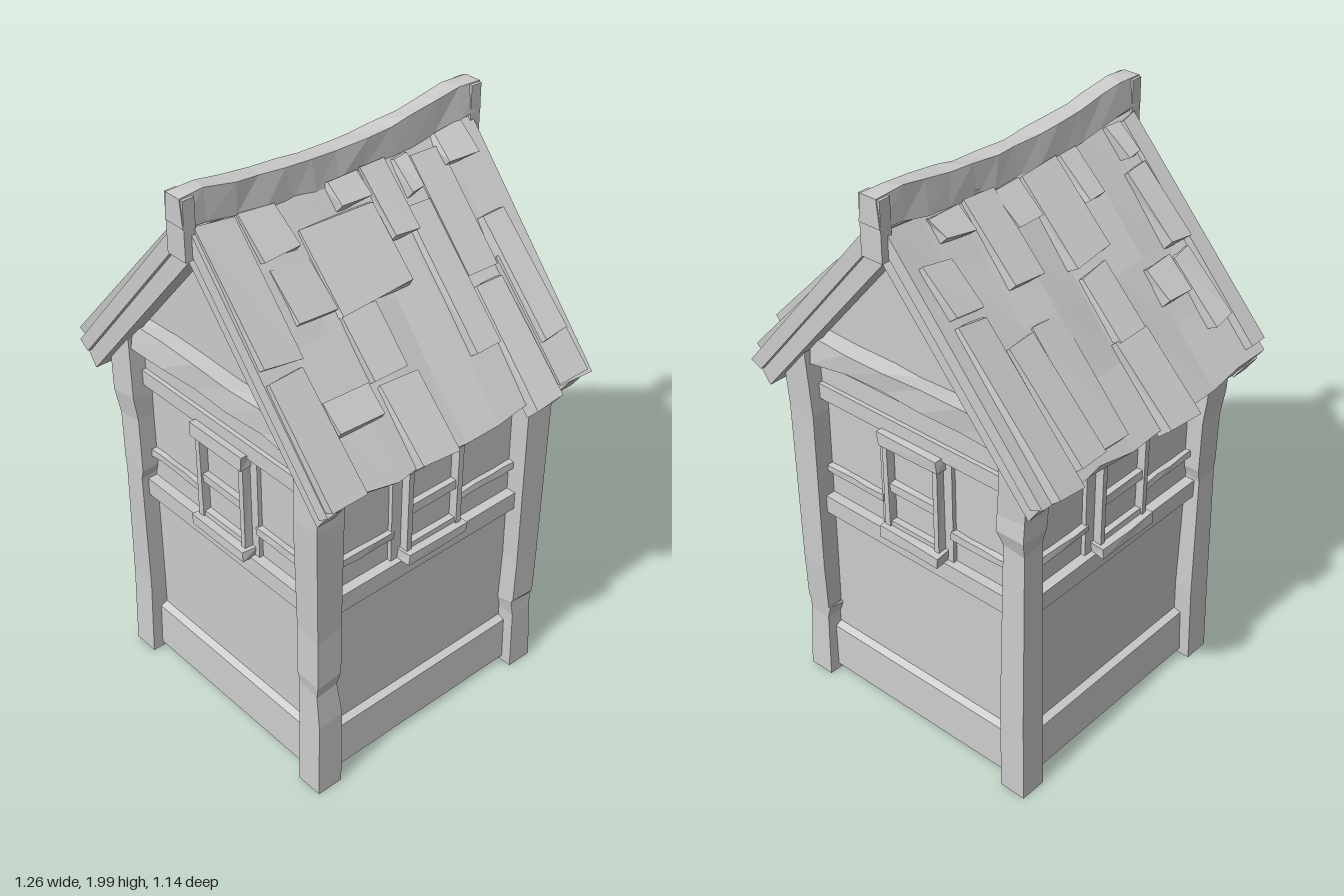
import * as THREE from 'three';
import { mergeVertices } from 'three/addons/utils/BufferGeometryUtils.js';

let seed = 7;
const rnd = () => ((seed = (seed * 16807) % 2147483647) / 2147483647) * 2 - 1;
const mat = new THREE.MeshStandardMaterial({ color: 0xcccccc, flatShading: true });

function part(name, geo, parent) {
  const m = new THREE.Mesh(geo, mat);
  m.name = name;
  parent.add(m);
  return m;
}

// Box whose shared vertices are moved by a rule
function warpedBox(w, h, d, sx, sy, sz, rule) {
  let g = new THREE.BoxGeometry(w, h, d, sx, sy, sz);
  g.deleteAttribute('normal');
  g.deleteAttribute('uv');
  g = mergeVertices(g);
  const p = g.attributes.position, v = new THREE.Vector3();
  for (let i = 0; i < p.count; i++) {
    rule(v.fromBufferAttribute(p, i));
    p.setXYZ(i, v.x, v.y, v.z);
  }
  g.computeVertexNormals();
  return g;
}

// Slightly uneven board given by its limits
function board(name, parent, x0, x1, y0, y1, z0, z1, jitter = 0, seg = 1) {
  const g = warpedBox(x1 - x0, y1 - y0, z1 - z0, seg, 1, 1, v => {
    v.x += (x0 + x1) / 2 + rnd() * jitter;
    v.y += (y0 + y1) / 2 + rnd() * jitter;
    v.z += (z0 + z1) / 2 + rnd() * jitter * 0.5;
  });
  return part(name, g, parent);
}

function extrude(points, z0, z1) {
  const s = new THREE.Shape(points.map(p => new THREE.Vector2(...p)));
  return new THREE.ExtrudeGeometry(s, { depth: z1 - z0, bevelEnabled: false }).translate(0, 0, z0);
}

// One timbered wall face with its window, facing +z
function wallFace() {
  const g = new THREE.Group();
  g.name = 'wallFace';
  const base = extrude([[0.42, 0.02], [0.435, 0], [0.435, 0.02], [0.45, 0.02], [0.445, 0.185], [0.42, 0.195]], -0.41, 0.41);
  part('baseBoard', base.rotateY(-Math.PI / 2), g);
  board('lowerBeam', g, -0.41, 0.41, 0.685, 0.75, 0.41, 0.455);
  board('upperBeam', g, -0.41, 0.41, 1.125, 1.18, 0.41, 0.45);
  board('topBeam', g, -0.41, 0.41, 1.18, 1.25, 0.41, 0.435);
  for (const [a, b] of [[-0.4, -0.14], [0.15, 0.4]])
    board('middleRail', g, a, b, 0.842, 0.868, 0.41, 0.44, 0.004, 4);
  board('windowPanel', g, -0.145, 0.155, 0.75, 1.125, 0.41, 0.435);
  board('windowHeader', g, -0.115, 0.13, 1.09, 1.135, 0.43, 0.475, 0.004);
  board('windowSill', g, -0.115, 0.135, 0.747, 0.785, 0.43, 0.485, 0.004, 2);
  board('windowJamb', g, -0.105, -0.085, 0.78, 1.1, 0.43, 0.465, 0.002);
  board('windowJamb', g, 0.103, 0.123, 0.78, 1.1, 0.43, 0.465, 0.002);
  for (const [y0, y1] of [[0.785, 0.805], [0.918, 0.95], [1.08, 1.095]])
    board('windowRail', g, -0.09, 0.108, y0, y1, 0.43, 0.458, 0.002);
  return g;
}

// Rough corner post with a chipped step at the given height
function post(sx, sz, notch) {
  const H = 1.3, lv = [0, 0.3, notch - 0.03, notch + 0.015, notch + 0.2, 1.08, H].sort((a, b) => a - b);
  const off = lv.map(y => [rnd() * 0.006, rnd() * 0.006, Math.abs(y - notch + 0.03) < 0.01 ? 0.86 : y > 1 ? 1.1 : 1]);
  const g = warpedBox(0.095, H, 0.095, 1, lv.length - 1, 1, v => {
    const i = Math.round((v.y / H + 0.5) * (lv.length - 1));
    const lean = -0.008 * Math.sin(lv[i] / H * Math.PI);
    v.x = v.x * off[i][2] + sx * (0.441 + lean) + off[i][0] * (i ? 1 : 0);
    v.z = v.z * off[i][2] + sz * (0.441 + lean) + off[i][1] * (i ? 1 : 0);
    v.y = lv[i] + (i ? rnd() * 0.012 : 0);
  });
  return g;
}

// Point on the +x roof slope, h above its surface
const SLOPE = 1.17;
const sag = z => 0.02 * (1 - (z / 0.55) ** 2);
function onRoof(v, x, z, h) {
  v.set(x + 0.76 * h, 1.92 - SLOPE * x - sag(z) + 0.65 * h, z);
}

// Tiles as [x0, x1, z0, z1], x measured down the slope
const tilesLeft = [
  [0.03, 0.12, -0.48, -0.36], [0.22, 0.51, -0.48, -0.39, 1.5], [0.3, 0.6, -0.5, -0.38], [0.33, 0.62, -0.37, -0.26],
  [0.05, 0.33, -0.37, -0.26, 0.5], [0.04, 0.14, -0.24, -0.19], [0.14, 0.47, -0.25, -0.15], [0.03, 0.2, -0.16, -0.07],
  [0.03, 0.11, -0.05, 0.06], [0.1, 0.29, -0.06, 0.22, 0.7], [0.27, 0.43, 0.09, 0.22], [0.42, 0.61, 0.06, 0.2],
  [0.03, 0.15, 0.25, 0.38], [0.15, 0.28, 0.22, 0.36, 0.5], [0.4, 0.49, 0.23, 0.4], [0.03, 0.33, 0.4, 0.53, 0.7],
  [0.33, 0.6, 0.41, 0.535]];
const tilesRight = [
  [0.24, 0.61, -0.5, -0.39], [0.12, 0.24, -0.5, -0.39], [0.31, 0.58, -0.37, -0.26], [0.04, 0.11, -0.39, -0.27],
  [0.04, 0.24, -0.25, -0.13], [0.3, 0.58, -0.25, -0.13, 0.4], [0.04, 0.14, -0.13, -0.02], [0.4, 0.62, 0, 0.14],
  [0.26, 0.42, 0.01, 0.13, 0.6], [0.04, 0.26, -0.01, 0.15], [0.04, 0.16, 0.16, 0.24], [0.31, 0.41, 0.25, 0.36],
  [0.32, 0.5, 0.38, 0.46], [0.13, 0.32, 0.38, 0.46], [0.04, 0.13, 0.39, 0.45], [0.04, 0.58, 0.47, 0.535, 0.8]];

function roofSide(name, tiles, flip) {
  const g = new THREE.Group();
  g.name = name;
  const slab = warpedBox(1, 1, 1, 4, 1, 8, v => {
    const u = v.x + 0.5, z = v.z * 1.08, top = v.y > 0;
    const eave = u > 0.99 ? rnd() * 0.008 : 0;
    const h = top ? (u > 0.01 && u < 0.99 && Math.abs(v.z) < 0.49 ? rnd() * 0.009 : 0) : -0.045;
    onRoof(v, u * 0.585 + eave, z, h);
  });
  part('roofSlab', slab, g);
  for (const [x0, x1, a, b, lift = 1] of tiles) {
    const z0 = flip ? -b : a, z1 = flip ? -a : b;
    const tile = warpedBox(1, 1, 1, 1, 1, 1, v => {
      const low = v.x > 0, top = v.y > 0;
      const x = low ? x1 - 0.02 : x0;
      const z = (v.z > 0 ? z1 : z0) + rnd() * 0.006;
      onRoof(v, x + rnd() * 0.006, z, top ? (low ? 0.036 : 0.016) * lift + rnd() * 0.003 : -0.02);
    });
    part('roofTile', tile, g);
  }
  if (flip) g.rotation.y = Math.PI;
  return g;
}

export function createModel() {
  seed = 7;
  const model = new THREE.Group();
  model.name = 'timberHut';

  // Walls with both gables in one solid
  part('houseBody', extrude([[-0.42, 0], [0.42, 0], [0.42, 1.345], [0, 1.84], [-0.42, 1.345]], -0.42, 0.42), model);
  for (let i = 0; i < 4; i++) {
    const face = wallFace();
    face.rotation.y = i * Math.PI / 2;
    model.add(face);
  }

  // Corner posts
  for (const [sx, sz, n] of [[-1, 1, 0.79], [1, 1, 0.45], [1, -1, 0.27], [-1, -1, 1.0]])
    part('cornerPost', post(sx, sz, n), model);

  // Roof
  model.add(roofSide('leftRoof', tilesLeft, false), roofSide('rightRoof', tilesRight, true));

  for (const s of [1, -1]) {
    const end = new THREE.Group();
    end.name = s > 0 ? 'frontGable' : 'backGable';
    // Chevron of barge boards
    const barge = extrude([[0, 1.875], [-0.57, 1.208], [-0.53, 1.15], [0, 1.765], [0.53, 1.15], [0.57, 1.208]], 0.46, 0.525);
    part('bargeBoards', barge, end);
    // Crooked lintel beam
    const lintel = warpedBox(0.77, 0.085, 0.08, 5, 1, 1, v => {
      const t = v.x / 0.385;
      v.y += 1.32 + (v.y < 0 ? 0.012 * (1 - t * t) - 0.004 : 0.004) + rnd() * 0.008;
      v.z += 0.438 + rnd() * 0.008;
    });
    part('lintel', lintel, end);
    // Hanging end of the ridge beam
    board('ridgeEnd', end, -0.04, 0.04, 1.795, 1.985, 0.525, 0.565);
    if (s < 0) end.rotation.y = Math.PI;
    model.add(end);
  }

  // Sagging ridge beam with narrowed top
  const ridge = warpedBox(0.08, 0.12, 1.136, 1, 1, 12, v => {
    const t = Math.min(1, Math.abs(v.z) / 0.5), top = v.y > 0, tip = Math.abs(v.z) > 0.56;
    v.x = v.x * (top ? 0.75 : 1) + (tip ? 0 : rnd() * 0.005);
    v.y = (top ? 2.0 : 1.9) - 0.05 * (1 - t * t) - (tip && top ? 0.012 : 0) - (tip ? 0 : Math.abs(rnd()) * 0.006);
    if (!tip) v.z += rnd() * 0.015;
  });
  part('ridgeBeam', ridge, model);
  return model;
}
